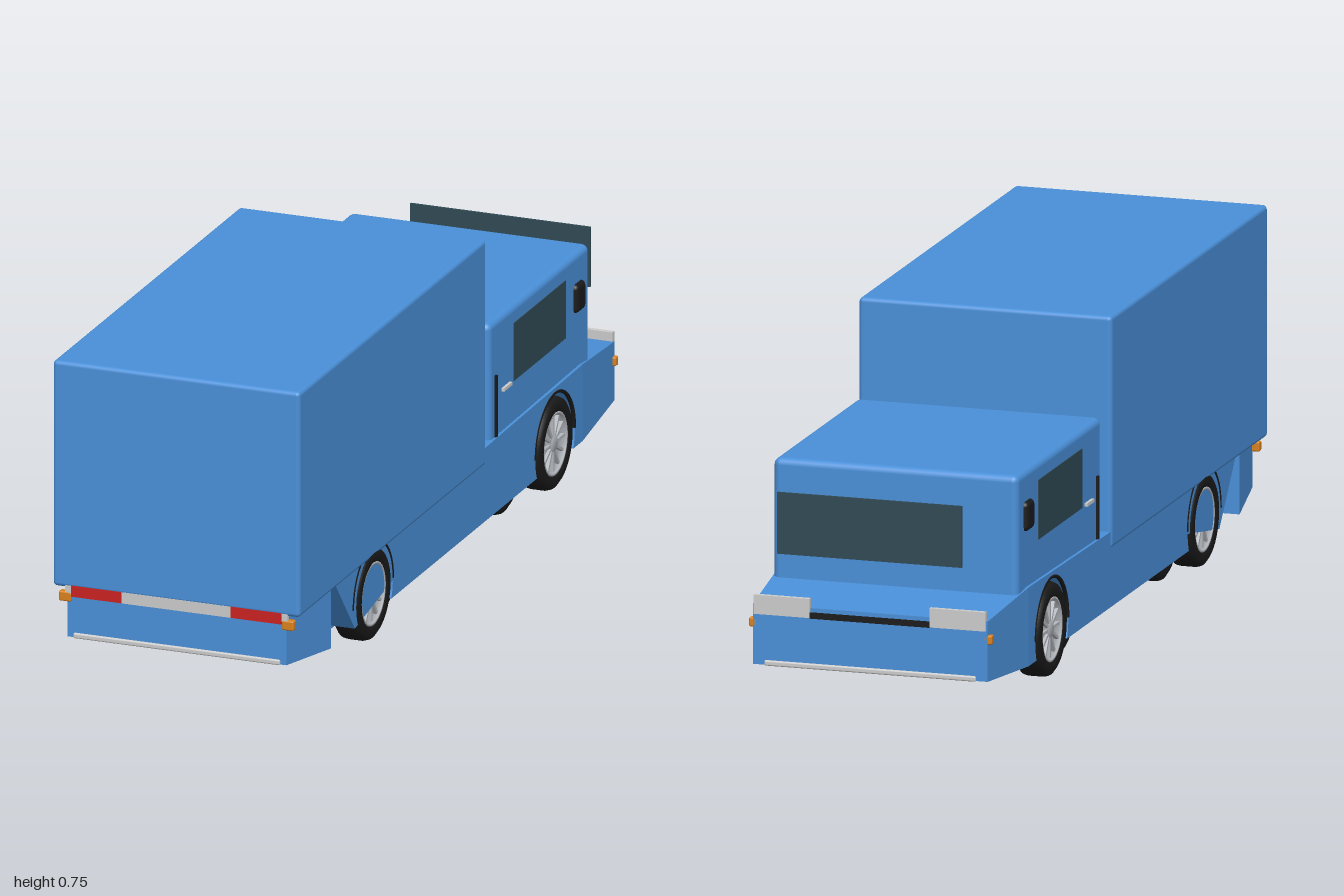
import * as THREE from 'three';
import { RoundedBoxGeometry } from 'three/addons/geometries/RoundedBoxGeometry.js';

const mat = (name, color) => {
  const m = new THREE.MeshStandardMaterial({ color });
  m.name = name;
  return m;
};

export function createModel() {
  const blue = mat('bodyBlue', 0x4a90d9);
  const glass = mat('darkGlass', 0x304a54);
  const black = mat('rubberBlack', 0x1a1a1a);
  const silver = mat('rimSilver', 0xb4b8be);
  const white = mat('trimWhite', 0xcccccc);
  const red = mat('reflectorRed', 0xcc2222);
  const amber = mat('markerAmber', 0xd9821e);

  const truck = new THREE.Group();
  truck.name = 'boxTruck';
  const add = (name, geo, material, x = 0, y = 0, z = 0, parent = truck) => {
    const m = new THREE.Mesh(geo, material);
    m.name = name;
    m.position.set(x, y, z);
    parent.add(m);
    return m;
  };
  const box = (w, h, d) => new THREE.BoxGeometry(w, h, d);
  const round = (w, h, d, r) => new RoundedBoxGeometry(w, h, d, 3, r);

  // Lower body: side profile (along -z) extruded across x, with optional wheel arches
  const axles = [0.54, -0.58], wheelR = 0.11, archR = 0.122, floor = 0.062;
  const slab = (x0, x1, arches) => {
    const s = new THREE.Shape();
    s.moveTo(-0.8, floor);
    if (arches) {
      const a = Math.asin((wheelR - floor) / archR);
      axles.forEach(z => s.absarc(-z, wheelR, archR, Math.PI + a, -a, true));
    }
    s.lineTo(0.75, floor);
    s.lineTo(0.75, 0.248);
    s.lineTo(0.15, 0.24);
    s.lineTo(0.14, 0.205);
    if (arches) s.lineTo(-0.35, 0.24);
    s.lineTo(-0.8, arches ? 0.24 : 0.205);
    const g = new THREE.ExtrudeGeometry(s, { depth: x1 - x0, bevelEnabled: false, curveSegments: 20 });
    g.rotateY(Math.PI / 2);
    g.translate(x0, 0, 0);
    return g;
  };
  add('lowerBodyCore', slab(-0.2, 0.2, false), blue);
  add('leftBodySide', slab(0.2, 0.302, true), blue);
  add('rightBodySide', slab(-0.302, -0.2, true), blue);
  add('underTray', box(0.48, 0.014, 1.3), blue, 0, 0.058, 0);

  // Tapered body ends: a box whose corners follow the inner and outer sections
  const bodyEnd = (inner, outer) => {
    const g = box(2, 1, 1), p = g.attributes.position;
    const flip = outer.z < inner.z;
    for (let i = 0; i < p.count; i++) {
      const s = (p.getZ(i) > 0) !== flip ? outer : inner;
      p.setXYZ(i, p.getX(i) * s.w, p.getY(i) > 0 ? s.top : s.bottom, s.z);
    }
    g.computeVertexNormals();
    return g;
  };
  add('tailBody', bodyEnd({ z: 0.8, w: 0.302, bottom: floor, top: 0.203 },
    { z: 0.994, w: 0.27, bottom: 0.08, top: 0.203 }), blue);
  add('bonnet', bodyEnd({ z: -0.75, w: 0.302, bottom: floor, top: 0.248 },
    { z: -0.994, w: 0.283, bottom: 0.08, top: 0.222 }), blue);

  // Cargo box and cab
  add('cargoBox', round(0.61, 0.547, 1.15, 0.01), blue, 0, 0.4735, 0.425);
  add('cab', round(0.59, 0.3, 0.615, 0.016), blue, 0, 0.372, -0.5025);
  add('windscreen', box(0.445, 0.145, 0.006), glass, 0, 0.418, -0.997);

  // Panel and struts in the gap behind the cab
  add('gapPanel', box(0.43, 0.01, 0.06), glass, 0, 0.272, -0.175).rotation.x = -0.6;

  // Wheels: lathed tyre, dished rim and spokes; axis along x with the face outwards
  const lathe = (pts, n) => {
    const g = new THREE.LatheGeometry(pts.map(p => new THREE.Vector2(...p)), n);
    g.rotateZ(-Math.PI / 2);
    return g;
  };
  const tyreGeo = lathe([[0.074, -0.032], [0.1, -0.032], [0.108, -0.026], [0.11, -0.015],
    [0.11, 0.017], [0.107, 0.027], [0.098, 0.033], [0.08, 0.033], [0.074, 0.028]], 40);
  const rimGeo = lathe([[0, -0.028], [0.076, -0.028], [0.076, 0.03], [0.07, 0.03],
    [0.065, 0.016], [0.022, 0.02], [0.018, 0.028], [0, 0.028]], 32);
  const spokeGeo = box(0.012, 0.048, 0.007);
  spokeGeo.translate(0.02, 0.043, 0);
  const wheel = (name, x, z, side) => {
    const w = new THREE.Group();
    w.name = name;
    add('tyre', tyreGeo, black, 0, 0, 0, w);
    add('rim', rimGeo, silver, 0, 0, 0, w);
    for (let i = 0; i < 12; i++) {
      add('spoke', spokeGeo, silver, 0, 0, 0, w).rotation.x = i * Math.PI / 6;
    }
    w.position.set(x * side, wheelR, z);
    if (side < 0) w.rotation.y = Math.PI;
    truck.add(w);
  };

  // Parts repeated on both sides
  const lipGeo = new THREE.TorusGeometry(0.123, 0.005, 6, 32, Math.PI);
  lipGeo.rotateY(Math.PI / 2);
  for (const s of [1, -1]) {
    axles.forEach(z => {
      wheel('outerWheel', 0.273, z, s);
      add('archLip', lipGeo, black, s * 0.299, wheelR, z);
    });
    for (const e of [1, -1]) {
      wheel('innerWheel', 0.228, e * 0.38, s);
      wheel('innerWheel', 0.194, e * 0.335, s);
    }

    // Cab side details
    add('sideWindow', box(0.008, 0.14, 0.32), glass, s * 0.293, 0.41, -0.5);
    add('sideMirror', round(0.03, 0.07, 0.055, 0.012), black, s * 0.291, 0.416, -0.738);
    add('doorHandle', box(0.01, 0.008, 0.05), white, s * 0.297, 0.342, -0.292);
    add('doorStrip', box(0.012, 0.15, 0.009), black, s * 0.294, 0.315, -0.228);
    add('gapStrut', box(0.025, 0.016, 0.1), blue, s * 0.23, 0.3, -0.175).rotation.x = -1;

    // Nose lamps and markers
    add('headlamp', box(0.135, 0.045, 0.012), white, s * 0.212, 0.222, -0.994);
    add('noseMarker', round(0.022, 0.022, 0.018, 0.004), amber, s * 0.282, 0.178, -0.985);

    // Tail reflectors and markers
    add('tailReflector', box(0.125, 0.027, 0.008), red, s * 0.197, 0.193, 0.996);
    add('reflectorEnd', box(0.016, 0.022, 0.008), white, s * 0.267, 0.196, 0.995);
    add('tailMarker', round(0.03, 0.024, 0.018, 0.004), amber, s * 0.275, 0.178, 0.991);
  }

  // Trim across the nose and tail
  add('grille', box(0.29, 0.014, 0.008), black, 0, 0.205, -0.995);
  add('tailBand', box(0.27, 0.027, 0.008), white, 0, 0.193, 0.996);
  for (const e of [1, -1]) {
    add('bumperBar', round(0.51, 0.013, 0.012, 0.004), white, 0, 0.085, e * 0.993);
  }
  return truck;
}
